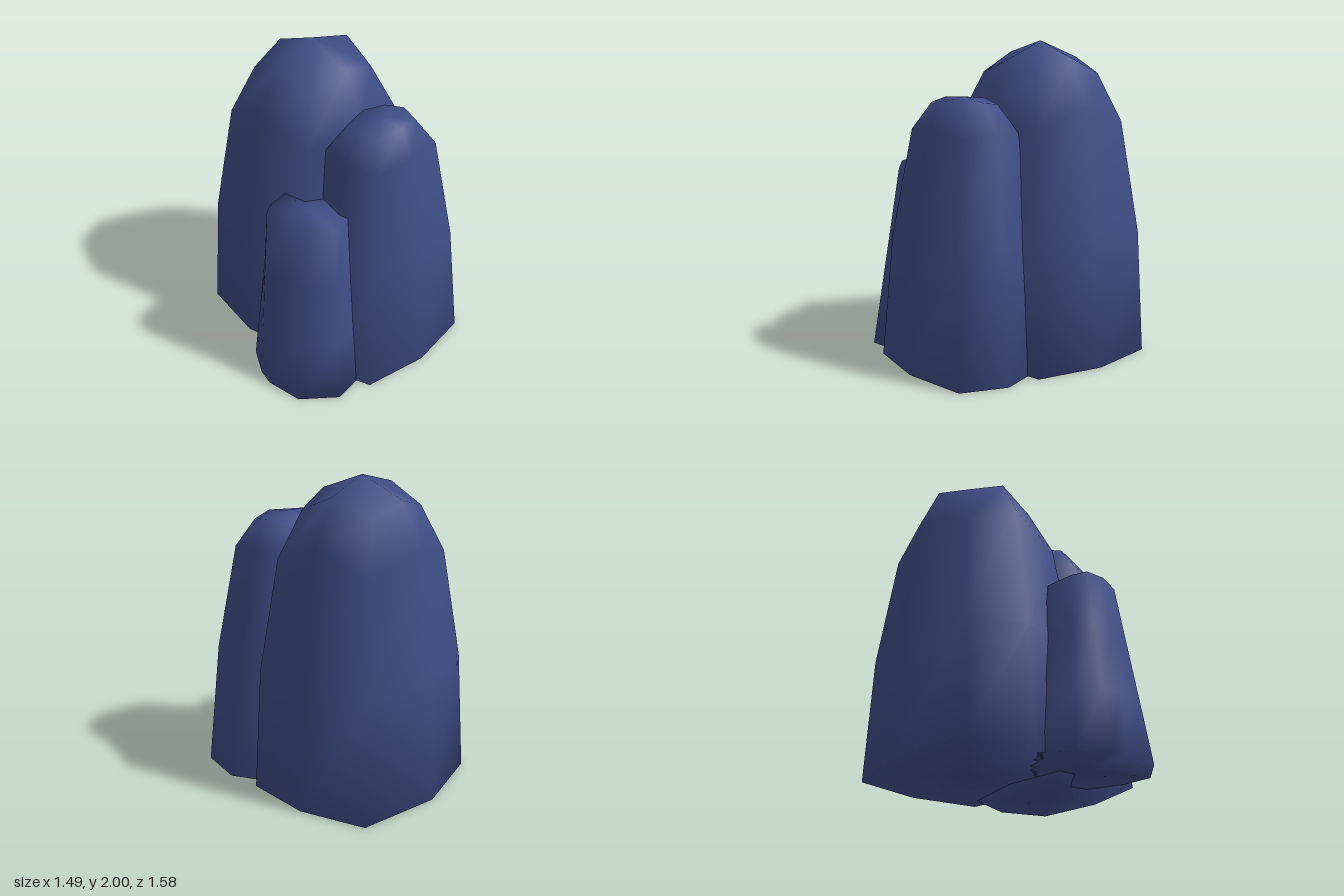
import * as THREE from 'three';

// Smooth closed skin over stacked rings of [x, y, z] points (bottom to top),
// ordered from +x towards +z, with a centre point closing each end.
function loft(rings, bottom, top) {
  const n = rings[0].length;
  const points = [...rings.flat(), bottom, top];
  const index = [];
  const bottomId = rings.length * n, topId = bottomId + 1;
  const last = (rings.length - 1) * n;
  for (let i = 0; i < n; i++) {
    const j = (i + 1) % n;
    for (let r = 0; r < rings.length - 1; r++) {
      const a = r * n + i, b = r * n + j;
      index.push(a, a + n, b, b, a + n, b + n);
    }
    index.push(bottomId, i, j, topId, last + j, last + i);
  }
  const geometry = new THREE.BufferGeometry();
  geometry.setAttribute('position', new THREE.Float32BufferAttribute(points.flat(), 3));
  geometry.setIndex(index);
  geometry.computeVertexNormals();
  return geometry;
}

// Eight-point ring: side midpoints at full radius, corners pulled in and lowered
const DIRECTIONS = [[1, 0], [1, 1], [0, 1], [-1, 1], [-1, 0], [-1, -1], [0, -1], [1, -1]];
function ring({ y, yz = y, z, rx, rz, kx, kz, cornerY }) {
  return DIRECTIONS.map(([dx, dz]) => {
    const corner = dx !== 0 && dz !== 0;
    return [
      0.12 + dx * rx * (corner ? kx : 1),
      corner ? cornerY : dx ? y : yz,
      z + dz * rz * (corner ? kz : 1),
    ];
  });
}

export function createModel() {
  const group = new THREE.Group();
  const rock = new THREE.MeshStandardMaterial({ color: 0x3f4d86 });
  rock.name = 'blue rock';

  const add = (name, geometry) => {
    const mesh = new THREE.Mesh(geometry, rock);
    mesh.name = name;
    group.add(mesh);
  };

  // Tall column at the back
  add('tallColumn', loft([
    ring({ y: 0, z: -0.23, rx: 0.62, rz: 0.56, kx: 0.87, kz: 0.78, cornerY: 0 }),
    ring({ y: 0.8, z: -0.23, rx: 0.56, rz: 0.52, kx: 0.88, kz: 0.8, cornerY: 0.79 }),
    ring({ y: 1.64, yz: 1.59, z: -0.23, rx: 0.45, rz: 0.44, kx: 0.87, kz: 0.78, cornerY: 1.5 }),
    ring({ y: 1.91, yz: 1.88, z: -0.23, rx: 0.3, rz: 0.3, kx: 0.87, kz: 0.84, cornerY: 1.8 }),
  ], [0.12, 0, -0.23], [0.12, 2, -0.23]));

  // Middle column at the front, leaning slightly back
  add('middleColumn', loft([
    ring({ y: 0, z: 0.43, rx: 0.53, rz: 0.36, kx: 0.8, kz: 0.81, cornerY: 0 }),
    ring({ y: 0.8, z: 0.4, rx: 0.43, rz: 0.34, kx: 0.82, kz: 0.81, cornerY: 0.8 }),
    ring({ y: 1.51, z: 0.365, rx: 0.32, rz: 0.255, kx: 0.83, kz: 0.82, cornerY: 1.48 }),
    ring({ y: 1.67, z: 0.365, rx: 0.2, rz: 0.155, kx: 0.83, kz: 0.82, cornerY: 1.65 }),
  ], [0.12, 0, 0.43], [0.12, 1.69, 0.365]));

  // Short column at the side, blended from a base outline to a sloping top outline
  const base = [[-0.05, 0.25], [-0.1, 0.52], [-0.33, 0.63], [-0.52, 0.66], [-0.72, 0.49],
    [-0.75, 0.25], [-0.72, 0.14], [-0.62, -0.03], [-0.42, -0.22], [-0.15, -0.05]];
  const top = [[-0.12, 0.24], [-0.16, 0.4], [-0.3, 0.47], [-0.42, 0.5], [-0.54, 0.4],
    [-0.6, 0.25], [-0.6, 0.11], [-0.52, 0.05], [-0.36, 0.0], [-0.2, 0.05]];
  const shortRings = [0, 1 / 3, 2 / 3, 1].map((t) => base.map(([bx, bz], i) => {
    const x = bx + (top[i][0] - bx) * t, z = bz + (top[i][1] - bz) * t;
    return [x, t * (1.12 - 0.15 * top[i][0]), z];
  }));
  add('shortColumn', loft(shortRings, [-0.4, 0, 0.25], [-0.36, 1.18, 0.24]));

  return group;
}
